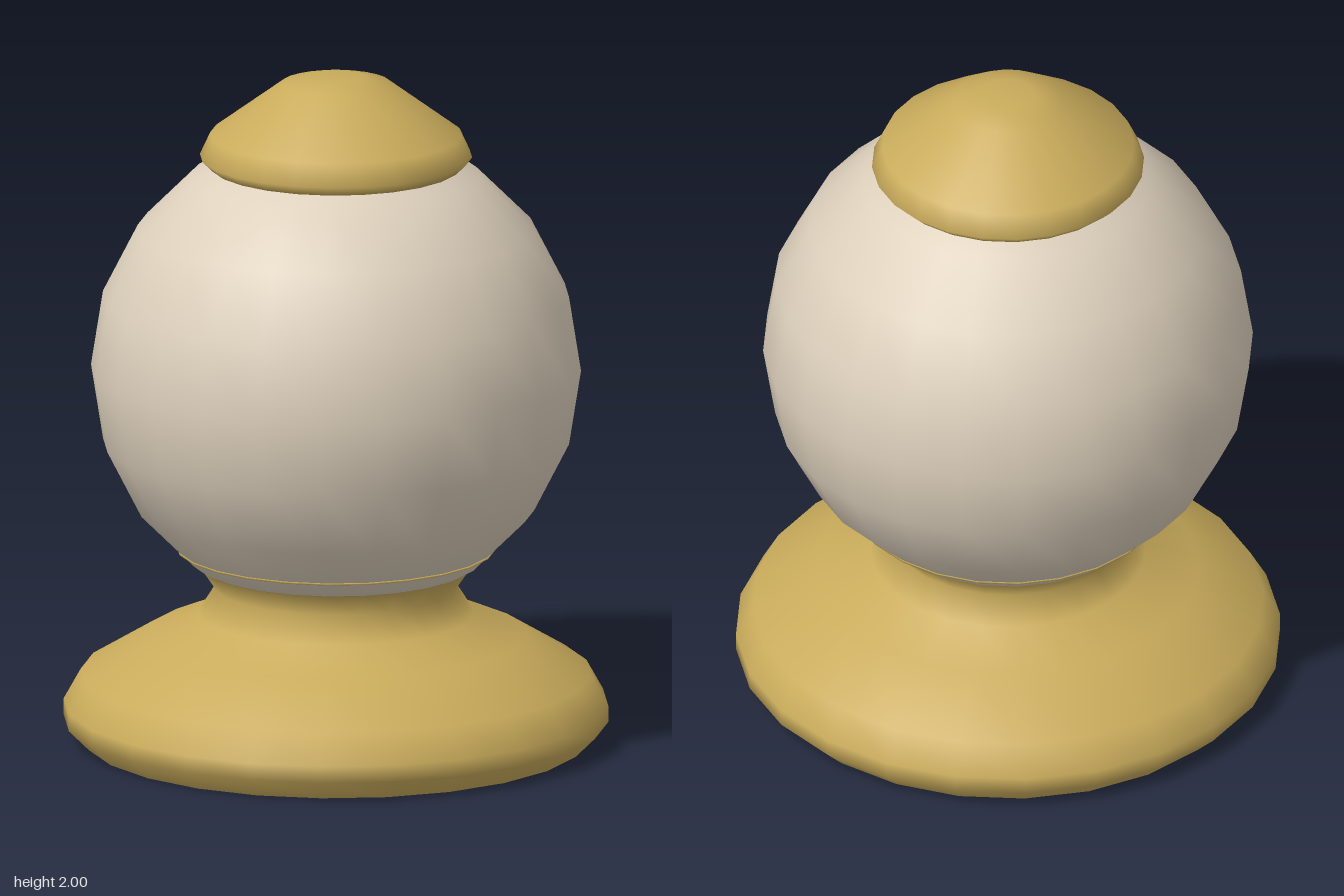
import * as THREE from 'three';

const SIDES = 24;

export function createModel() {
  const brass = new THREE.MeshStandardMaterial({ color: 0xc9ab5b });
  brass.name = 'brass';
  const ivory = new THREE.MeshStandardMaterial({ color: 0xddd0bc });
  ivory.name = 'ivory';

  const model = new THREE.Group();
  model.name = 'finial';

  const add = (name, geometry, material, y = 0) => {
    const mesh = new THREE.Mesh(geometry, material);
    mesh.name = name;
    mesh.position.y = y;
    model.add(mesh);
    return mesh;
  };
  // Profiles run from bottom to top as [radius, height]
  const turned = (profile) =>
    new THREE.LatheGeometry(profile.map(([r, y]) => new THREE.Vector2(r, y)), SIDES);

  // Flared foot and waist
  add('base', turned([
    [0.74, 0], [0.8, 0.06], [0.8, 0.11], [0.75, 0.2], [0.56, 0.315],
    [0.405, 0.38], [0.355, 0.46], [0.4, 0.525],
  ]), brass);

  // Flat underside of the foot
  add('baseUnderside', new THREE.CircleGeometry(0.74, SIDES).rotateX(Math.PI / 2), brass);

  // Thin lip of the cup holding the ball
  add('cupRim', turned([
    [0.4, 0.525], [0.455, 0.574], [0.469, 0.576], [0.469, 0.582], [0.42, 0.583],
  ]), brass);

  // Ball
  add('globe', new THREE.SphereGeometry(0.72, SIDES, 10), ivory, 1.12);

  // Domed cap
  add('cap', turned([
    [0, 1.73], [0.37, 1.73], [0.4, 1.76], [0.37, 1.825], [0.16, 1.98], [0.08, 2], [0, 2],
  ]), brass);

  return model;
}
